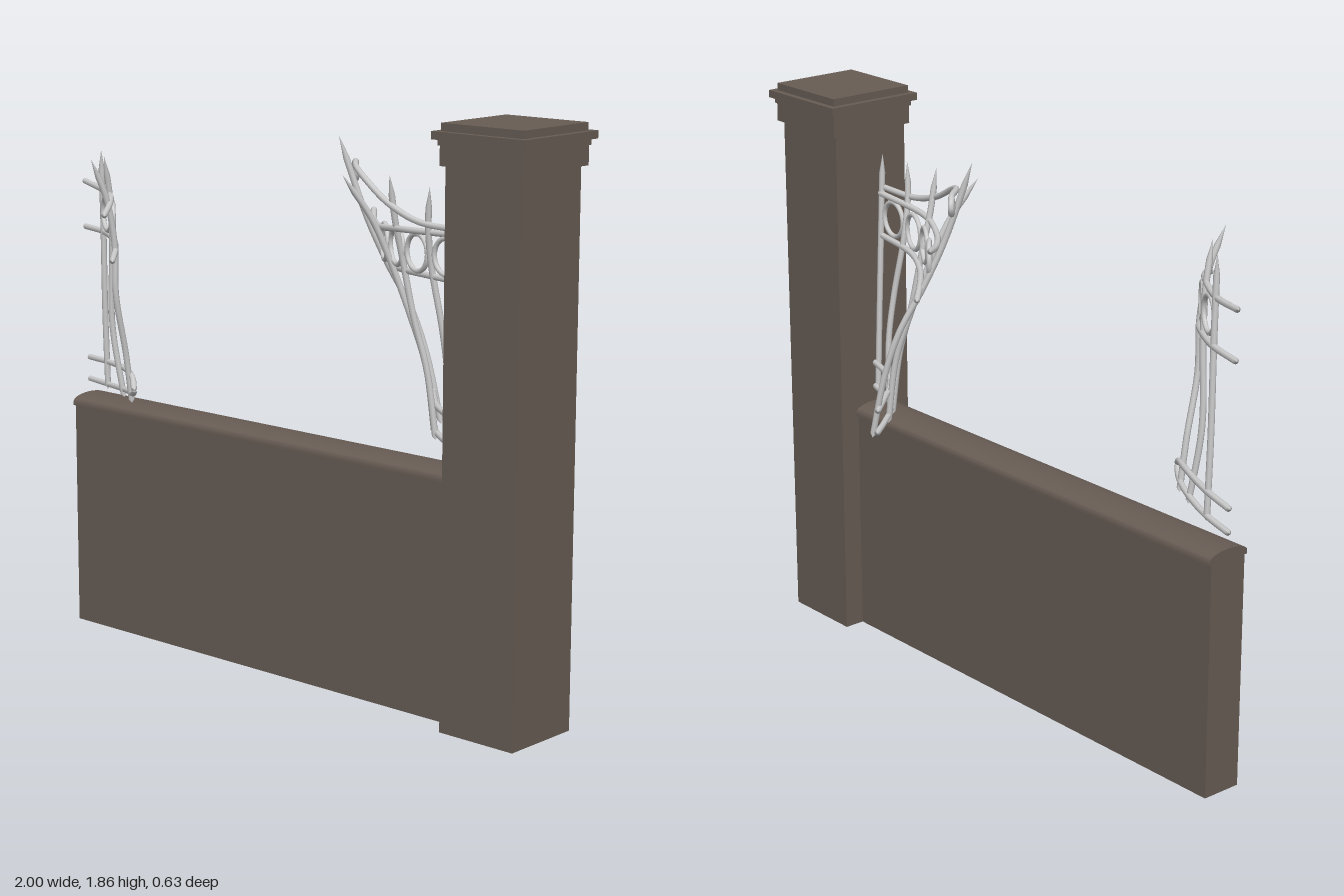
import * as THREE from 'three';
import { toCreasedNormals } from 'three/addons/utils/BufferGeometryUtils.js';

const stone = new THREE.MeshStandardMaterial({ color: 0x675c54, side: THREE.DoubleSide });
stone.name = 'brown stone';
const iron = new THREE.MeshStandardMaterial({ color: 0xcccccc });
iron.name = 'light grey iron';

function add(parent, name, geometry, material) {
  const mesh = new THREE.Mesh(geometry, material);
  mesh.name = name;
  parent.add(mesh);
  return mesh;
}

// Box from its limits, optionally without the bottom face
function block(x0, x1, y0, y1, z0, z1, open = false) {
  const g = new THREE.BoxGeometry(x1 - x0, y1 - y0, z1 - z0);
  g.translate((x0 + x1) / 2, (y0 + y1) / 2, (z0 + z1) / 2);
  if (open) {
    const index = Array.from(g.index.array);
    index.splice(18, 6);
    g.setIndex(index);
    g.clearGroups();
  }
  return g;
}

// Round bar along a curve with closed ends; spike = rings in the tapered tip
function bar(points, radius, spike = 1) {
  const curve = new THREE.CatmullRomCurve3(points.map(p => new THREE.Vector3(...p)));
  const n = 64, sides = 8;
  const g = new THREE.TubeGeometry(curve, n, radius, sides);
  const pos = g.attributes.position;
  const v = new THREE.Vector3();
  for (let i = 0; i <= n; i++) {
    const k = i === 0 ? 0 : Math.min(1, (n - i) / spike);
    if (k === 1) continue;
    const c = curve.getPointAt(i / n);
    for (let j = 0; j <= sides; j++) {
      const id = i * (sides + 1) + j;
      v.fromBufferAttribute(pos, id).lerp(c, 1 - k);
      pos.setXYZ(id, v.x, v.y, v.z);
    }
  }
  return g;
}

// One bent fence section: rails, pointed bars and rings
function fence(name, rails, bars, rings) {
  const group = new THREE.Group();
  group.name = name;
  rails.forEach(p => add(group, 'rail', bar(p, 0.010), iron));
  bars.forEach(p => add(group, 'spikedBar', bar(p, 0.010, 5), iron));
  rings.forEach(([x, y, z, turn]) => {
    const ring = add(group, 'ring', new THREE.TorusGeometry(0.057, 0.008, 8, 28), iron);
    ring.position.set(x, y, z);
    ring.rotation.y = -turn;
  });
  return group;
}

export function createModel() {
  const model = new THREE.Group();
  model.name = 'brokenFenceWall';

  // Low wall running into the pillar
  add(model, 'wall', block(-1, 0.76, 0, 0.765, -0.08, 0.056, true), stone);

  // Rounded coping
  const profile = new THREE.Shape();
  profile.moveTo(-0.077, 0.76);
  profile.lineTo(0.077, 0.76);
  profile.lineTo(0.077, 0.772);
  profile.absellipse(0, 0.772, 0.077, 0.025, 0, Math.PI, false);
  profile.lineTo(-0.077, 0.76);
  const coping = new THREE.ExtrudeGeometry(profile, { depth: 1.72, bevelEnabled: false, curveSegments: 16 });
  coping.rotateY(Math.PI / 2);
  coping.translate(-1, 0, -0.011);
  add(model, 'coping', toCreasedNormals(coping, 0.6), stone);

  // Pillar with a stepped cap: half width, bottom, top
  add(model, 'pillar', block(0.685, 0.966, 0, 1.735, -0.149, 0.131, true), stone);
  const cap = new THREE.Group();
  cap.name = 'pillarCap';
  model.add(cap);
  const cx = 0.8275, cz = -0.010;
  [[0.154, 1.73, 1.79], [0.159, 1.79, 1.808], [0.1725, 1.808, 1.832], [0.152, 1.832, 1.856]]
    .forEach(([h, y0, y1]) => add(cap, 'capTier', block(cx - h, cx + h, y0, y1, cz - h, cz + h), stone));

  // Short fence section at the far end, bent forwards
  model.add(fence('leftFence', [
    [[-1, 1.525, 0], [-0.85, 1.515, 0.06], [-0.72, 1.515, 0.145], [-0.64, 1.505, 0.22], [-0.57, 1.478, 0.315]],
    [[-1, 1.37, 0], [-0.85, 1.37, 0.05], [-0.72, 1.365, 0.13], [-0.64, 1.35, 0.2], [-0.57, 1.327, 0.282]],
    [[-1, 0.918, -0.01], [-0.85, 0.925, 0.035], [-0.7, 0.93, 0.1], [-0.62, 0.92, 0.15], [-0.574, 0.892, 0.188]],
    [[-1, 0.843, -0.01], [-0.85, 0.848, 0.035], [-0.7, 0.86, 0.1], [-0.62, 0.868, 0.15], [-0.574, 0.885, 0.188]],
  ], [
    [[-0.865, 0.83, 0.03], [-0.863, 1.1, 0.04], [-0.855, 1.4, 0.05], [-0.85, 1.645, 0.06]],
    [[-0.73, 0.83, 0.085], [-0.755, 1.08, 0.11], [-0.74, 1.35, 0.12], [-0.73, 1.5, 0.135], [-0.725, 1.645, 0.165]],
    [[-0.645, 0.83, 0.13], [-0.645, 1, 0.155], [-0.64, 1.2, 0.2], [-0.638, 1.37, 0.205], [-0.642, 1.52, 0.235], [-0.66, 1.65, 0.283]],
  ], [[-0.79, 1.443, 0.092, 0.5], [-0.682, 1.443, 0.17, 0.72]]));

  // Longer section beside the pillar, bent backwards, its top rail ending in a scroll
  const scroll = [];
  for (let i = 0; i <= 14; i++) {
    const a = Math.PI * (3 - 2.5 * i / 14), r = 0.014 + 0.0012 * i;
    scroll.push([0.07 + r * Math.cos(a), 1.634 + r * Math.sin(a), -0.172 + r * Math.cos(a) * 0.9]);
  }
  model.add(fence('rightFence', [
    [...scroll, [0.135, 1.66, -0.1], [0.22, 1.635, -0.045], [0.35, 1.575, -0.005], [0.5, 1.535, 0.025], [0.7, 1.53, 0.04]],
    [[0.067, 1.505, -0.263], [0.15, 1.487, -0.17], [0.25, 1.485, -0.085], [0.4, 1.5, -0.01], [0.7, 1.512, 0.03]],
    [[0.125, 1.333, -0.27], [0.22, 1.35, -0.18], [0.32, 1.358, -0.1], [0.45, 1.368, -0.03], [0.7, 1.37, 0.03]],
    [[0.275, 0.94, -0.315], [0.35, 0.942, -0.23], [0.45, 0.94, -0.125], [0.55, 0.935, -0.06], [0.7, 0.93, 0]],
    [[0.28, 0.865, -0.315], [0.35, 0.863, -0.23], [0.45, 0.857, -0.125], [0.55, 0.85, -0.06], [0.7, 0.847, 0]],
  ], [
    [[0.325, 0.835, -0.298], [0.28, 1.05, -0.28], [0.24, 1.2, -0.25], [0.19, 1.35, -0.19], [0.145, 1.5, -0.14], [0.075, 1.755, -0.085]],
    [[0.4, 0.835, -0.175], [0.375, 1.05, -0.16], [0.335, 1.2, -0.135], [0.285, 1.4, -0.08], [0.258, 1.52, -0.03], [0.21, 1.655, 0.05]],
    [[0.455, 0.835, -0.115], [0.43, 1.05, -0.1], [0.395, 1.22, -0.075], [0.37, 1.4, -0.05], [0.365, 1.52, -0.02], [0.362, 1.665, 0.005]],
    [[0.545, 0.835, -0.06], [0.558, 1.05, -0.045], [0.553, 1.2, -0.025], [0.527, 1.4, 0], [0.53, 1.52, 0.02], [0.542, 1.645, 0.03]],
    [[0.678, 0.835, 0], [0.678, 1.2, 0.015], [0.678, 1.645, 0.035]],
  ], [[0.215, 1.428, -0.145, 0.7], [0.325, 1.433, -0.075, 0.52], [0.46, 1.435, -0.012, 0.3], [0.605, 1.44, 0.02, 0.12]]));

  return model;
}
